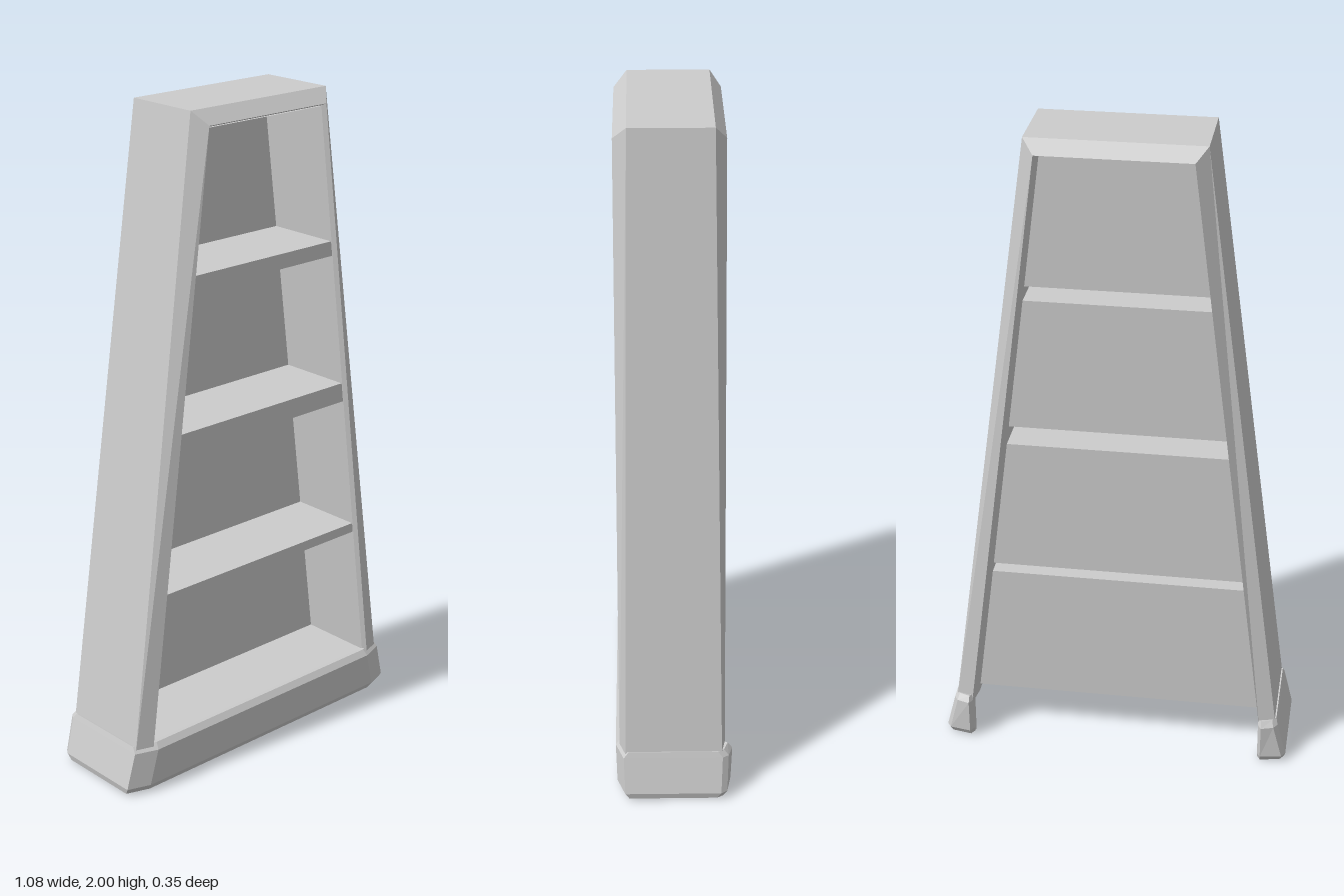
import * as THREE from 'three';

const material = new THREE.MeshStandardMaterial({ color: 0xcccccc, flatShading: true, side: THREE.DoubleSide });

// Skin a list of equal-length rings of [x, y, z] points with flat quads
function loft(rings, closed = false) {
  const pos = [];
  const n = rings[0].length;
  for (let i = 0; i < rings.length - 1; i++) {
    for (let j = 0; j < (closed ? n : n - 1); j++) {
      const k = (j + 1) % n;
      const [a, b, c, d] = [rings[i][j], rings[i][k], rings[i + 1][k], rings[i + 1][j]];
      pos.push(...a, ...b, ...c, ...a, ...c, ...d);
    }
  }
  const geo = new THREE.BufferGeometry();
  geo.setAttribute('position', new THREE.Float32BufferAttribute(pos, 3));
  geo.computeVertexNormals();
  return geo;
}

// Half width of the tapering opening at height y
const halfWidth = (y) => 0.442 - (y - 0.15) * 0.1258;

export function createModel() {
  const group = new THREE.Group();
  const add = (name, geometry, parent = group) => {
    const mesh = new THREE.Mesh(geometry, material);
    mesh.name = name;
    parent.add(mesh);
  };

  // Tapered frame: bevelled section carried up one side, across the top and down
  const bottom = (s) => [
    [s * 0.507, 0.12, 0.145], [s * 0.454, 0.12, 0.163], [s * 0.446, 0.12, 0.15],
    [s * 0.446, 0.12, -0.08], [s * 0.456, 0.12, -0.152], [s * 0.507, 0.12, -0.142],
  ];
  const top = (s) => [
    [s * 0.256, 2, 0.125], [s * 0.222, 1.96, 0.163], [s * 0.215, 1.954, 0.15],
    [s * 0.215, 1.954, -0.08], [s * 0.222, 1.96, -0.145], [s * 0.256, 2, -0.113],
  ];
  add('frame', loft([bottom(-1), top(-1), top(1), bottom(1)], true));

  // Four hollow compartments, with open gaps between them at the rear
  const levels = [[0.15, 0.58], [0.61, 1.03], [1.09, 1.5], [1.545, 1.951]];
  const front = 0.148, back = -0.085;
  levels.forEach(([y0, y1], i) => {
    const cell = new THREE.Group();
    cell.name = 'compartment' + (i + 1);
    group.add(cell);
    const w0 = halfWidth(y0), w1 = halfWidth(y1);
    const ring = (z) => [[-w0, y0, z], [w0, y0, z], [w1, y1, z], [-w1, y1, z]];
    add('compartmentWalls', loft([ring(front), ring(back)], true), cell);
    const [a, b, c, d] = ring(back);
    add('backPanel', loft([[a, b], [d, c]]), cell);

    // Shelf edge closing the gap up to the next compartment
    if (i < levels.length - 1) {
      const y2 = levels[i + 1][0], w2 = halfWidth(y2);
      add('shelfEdge', loft([
        [[-w1, y1, front], [w1, y1, front]],
        [[-w2, y2, front], [w2, y2, front]],
      ]), cell);
    }
  });

  // Flared plinth: wraps the front and sides, returns at the rear corners
  const outline = (y, w, f) => {
    const half = [
      [0.452, y, -f + 0.018], [0.462, y, -f], [w - 0.012, y, -f + 0.012],
      [w, y, -f + 0.03], [w, y, f - 0.024], [w - 0.07, y, f],
    ];
    return [...half, ...half.map(([x, v, z]) => [-x, v, z]).reverse()];
  };
  add('plinth', loft([
    outline(0.15, 0.495, 0.145),
    outline(0.153, 0.507, 0.16),
    outline(0.135, 0.512, 0.174),
    outline(0.025, 0.54, 0.17),
    outline(0.005, 0.535, 0.158),
    outline(0, 0.515, 0.145),
    outline(0.03, 0.51, 0.14),
    outline(0.14, 0.49, 0.14),
  ]));
  return group;
}
